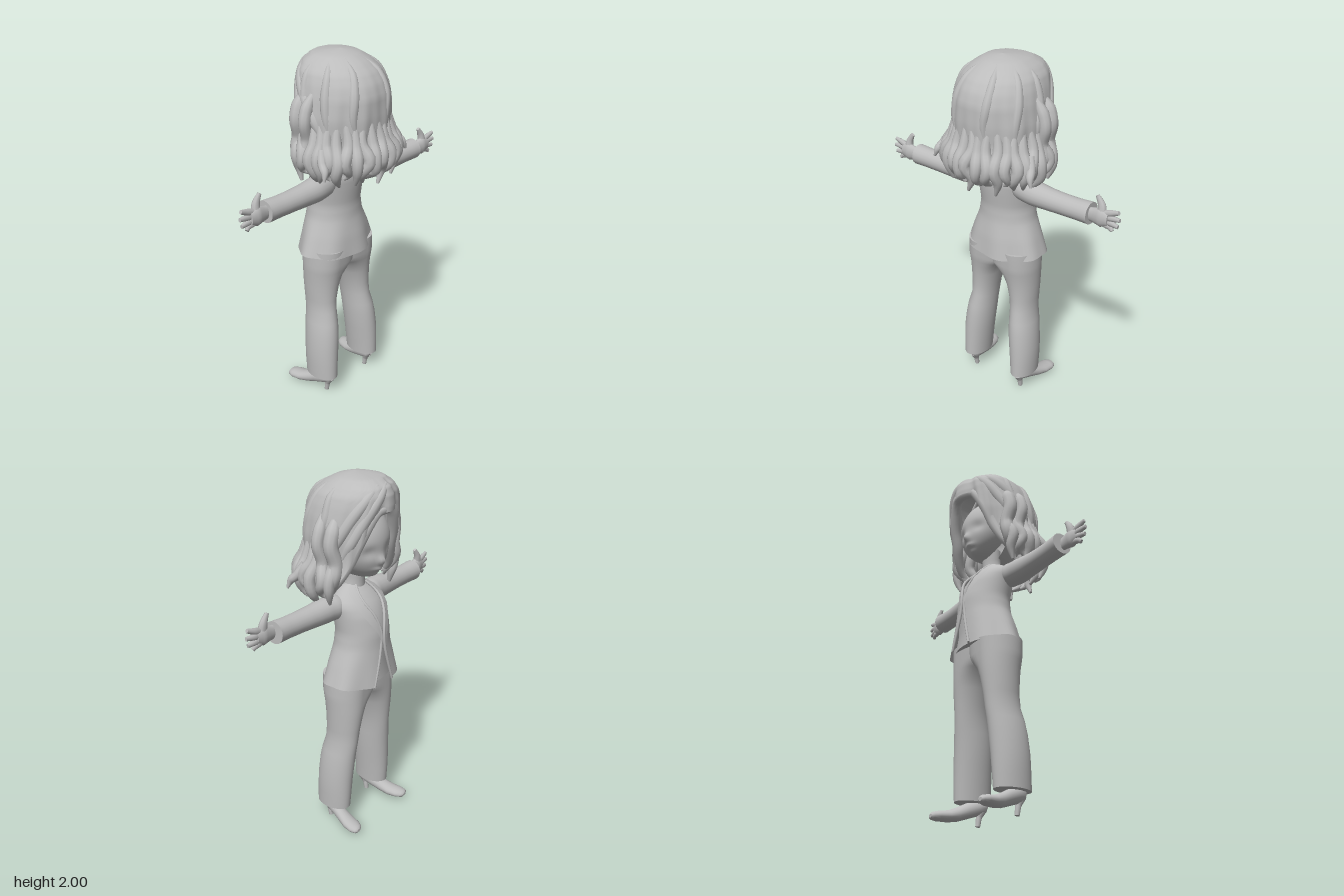
import * as THREE from 'three';

const grey = new THREE.MeshStandardMaterial({ color: 0xbcbcbc, side: THREE.DoubleSide });
grey.name = 'clay grey';
const V = (x, y, z) => new THREE.Vector3(x, y, z);
const TAU = Math.PI * 2;

function add(parent, name, geometry) {
  const mesh = new THREE.Mesh(geometry, grey);
  mesh.name = name;
  parent.add(mesh);
}

// Skin a grid of points; closed joins the last column to the first, caps fill both ends
function loft(rows, closed = true, caps = false) {
  const list = rows.slice();
  const n = rows[0].length;
  if (caps) {
    const fan = (row) => {
      const c = row.reduce((s, p) => s.add(p), V(0, 0, 0)).divideScalar(n);
      return row.map(() => c);
    };
    list.unshift(fan(rows[0]), rows[0]);
    list.push(rows[rows.length - 1], fan(rows[rows.length - 1]));
  }
  const index = [];
  for (let j = 0; j < list.length - 1; j++) {
    for (let i = 0; i < (closed ? n : n - 1); i++) {
      const k = (i + 1) % n;
      const a = j * n + i, b = j * n + k, c = a + n, d = b + n;
      index.push(a, c, b, b, c, d);
    }
  }
  const g = new THREE.BufferGeometry().setFromPoints(list.flat());
  g.setIndex(index);
  g.computeVertexNormals();
  return g;
}

// Smooth tapered tube through points, with one radius per evenly spaced step
function strand(pts, radii, scale = V(1, 1, 1), segs = 20, sides = 10) {
  const curve = new THREE.CatmullRomCurve3(pts.map((p) => V(...p)));
  const f = curve.computeFrenetFrames(segs);
  const rows = [];
  for (let j = 0; j <= segs; j++) {
    const u = (j / segs) * (radii.length - 1);
    const k = Math.min(Math.floor(u), radii.length - 2);
    const r = THREE.MathUtils.lerp(radii[k], radii[k + 1], u - k);
    const c = curve.getPointAt(j / segs);
    rows.push(ring(sides, (a) => V(0, 0, 0).addScaledVector(f.normals[j], Math.cos(a) * r)
      .addScaledVector(f.binormals[j], -Math.sin(a) * r).multiply(scale).add(c)));
  }
  return loft(rows, true, true);
}

// Linear lookup in a table sorted by its first column
function look(table, y) {
  let i = 0;
  while (i < table.length - 2 && y > table[i + 1][0]) i++;
  const t = THREE.MathUtils.clamp((y - table[i][0]) / (table[i + 1][0] - table[i][0]), 0, 1);
  return table[i].map((v, k) => THREE.MathUtils.lerp(v, table[i + 1][k], t));
}

// Point on a section [y, halfWidth, zBack, zFront]; angle 0 is the face side (-z), square < 1 fills the front corners
function onBody(table, y, a, out = 0, square = 1) {
  const [, w, zb, zf] = look(table, y);
  const p = Math.cos(a) > 0 ? square : 1;
  const bend = (v) => Math.sign(v) * Math.abs(v) ** p;
  return V(bend(Math.sin(a)) * (w + out), y, (zb + zf) / 2 - bend(Math.cos(a)) * ((zb - zf) / 2 + out));
}
const ring = (n, fn) => Array.from({ length: n }, (_, i) => fn((i / n) * TAU));

const JACKET = [[0.885, 0.243, 0.07, -0.262, 0.32], [1.0, 0.205, 0.055, -0.252, 0.2], [1.1, 0.167, 0.035, -0.245, 0.1],
  [1.18, 0.155, 0.03, -0.243, 0.08], [1.28, 0.163, 0.042, -0.222, 0.25], [1.34, 0.168, 0.045, -0.185, 0.4],
  [1.385, 0.13, 0.03, -0.14, 0.5], [1.42, 0.07, 0.0, -0.1, 0.6]];
const HAIR = [[1.38, 0.25, 0.2, -0.22], [1.5, 0.27, 0.23, -0.25], [1.6, 0.25, 0.205, -0.255], [1.7, 0.252, 0.21, -0.27],
  [1.8, 0.237, 0.205, -0.28], [1.86, 0.222, 0.185, -0.285], [1.91, 0.202, 0.15, -0.282], [1.95, 0.165, 0.1, -0.265],
  [1.98, 0.115, 0.04, -0.205], [1.993, 0.06, -0.01, -0.12], [2.0, 0, -0.05, -0.05]];

function buildTorso(g) {
  // Open jacket shell
  const rows = [];
  for (let j = 0; j <= 24; j++) {
    const y = 0.885 + (j / 24) * 0.535;
    const gap = look(JACKET, y)[4];
    rows.push(Array.from({ length: 49 }, (_, i) => {
      const a = gap + (i / 48) * (TAU - 2 * gap);
      const hem = Math.max(0, 1 - j / 10);
      const p = onBody(JACKET, y, a, 0.006 * hem * Math.sin(a * 7));
      p.y += 0.018 * hem * Math.sin(a) ** 2;
      return p;
    }));
  }
  add(g, 'jacket', loft(rows, false));
  // Blouse filling the opening
  add(g, 'blouse', loft([0.9, 1.0, 1.1, 1.18, 1.28, 1.34, 1.385, 1.42].map((y) =>
    ring(32, (a) => onBody(JACKET, y, a, y < 1.05 ? -0.03 : -0.012))), true, true));
  // Lapels and rolled front edges
  const spread = [0.02, 0.18, 0.32, 0.42, 0.4, 0.5, 0.6];
  for (const s of [1, -1]) {
    const across = s > 0 ? [0, 0.5, 1] : [1, 0.5, 0];
    add(g, 'lapel', loft([1.12, 1.18, 1.24, 1.3, 1.35, 1.39, 1.42].map((y, j) => across.map((t) =>
      onBody(JACKET, y, s * (look(JACKET, y)[4] - 0.03 + t * spread[j]), 0.006))), false));
    const edge = JACKET.map(([y, , , , gap]) => onBody(JACKET, y, s * gap).toArray());
    add(g, 'jacketEdge', strand(edge, [0.007, 0.008, 0.008, 0.007]));
  }
}

function buildTrousers(g) {
  // [y, centre x, radius x, centre z, radius z]
  const LEG = [[0.115, 0.174, 0.069, -0.048, 0.105], [0.2, 0.172, 0.074, -0.051, 0.107], [0.3, 0.167, 0.08, -0.054, 0.108],
    [0.4, 0.157, 0.08, -0.06, 0.108], [0.47, 0.15, 0.076, -0.068, 0.106], [0.54, 0.14, 0.07, -0.08, 0.101],
    [0.61, 0.136, 0.076, -0.086, 0.101], [0.7, 0.127, 0.089, -0.088, 0.109], [0.76, 0.12, 0.098, -0.086, 0.116],
    [0.8, 0.116, 0.105, -0.083, 0.121], [0.84, 0.113, 0.109, -0.08, 0.126], [0.93, 0.108, 0.11, -0.08, 0.13]];
  for (const s of [1, -1]) {
    // The inner half squares off towards the crotch so both legs merge into the seat
    add(g, 'trouserLeg', loft(LEG.map(([y, cx, rx, cz, rz]) => {
      const k = THREE.MathUtils.smoothstep(y, 0.72, 0.85);
      return ring(40, (a) => {
        const sx = Math.sin(a), c = Math.cos(a);
        const inner = sx * s < 0;
        const x = inner ? Math.sign(sx) * Math.abs(sx) ** (1 - 0.3 * k) * (rx + 0.03 * k) : sx * rx;
        const z = inner ? Math.sign(c) * Math.abs(c) ** (1 - 0.75 * k) * rz : c * rz;
        return V(s * cx + x, y, cz - z);
      });
    }), true, true));
    // High heeled shoe
    const SHOE = [[0.035, 0.162, 0.112, 0.012, 0.015], [0.02, 0.165, 0.105, 0.03, 0.035], [-0.02, 0.172, 0.097, 0.038, 0.044],
      [-0.08, 0.182, 0.075, 0.038, 0.042], [-0.13, 0.193, 0.054, 0.04, 0.037], [-0.18, 0.204, 0.041, 0.046, 0.03],
      [-0.23, 0.214, 0.038, 0.044, 0.026], [-0.258, 0.219, 0.037, 0.032, 0.02], [-0.268, 0.221, 0.036, 0.014, 0.009]];
    add(g, 'shoe', loft(SHOE.map(([z, cx, cy, rx, ry]) =>
      ring(18, (a) => V(s * cx + Math.cos(a) * rx, cy + Math.sin(a) * ry, z))), true, true));
    add(g, 'shoeHeel', strand([[s * 0.166, 0.095, 0.005], [s * 0.168, 0.05, -0.01], [s * 0.168, 0, -0.018]], [0.03, 0.016, 0.013]));
  }
}

function buildArm(g, s) {
  add(g, 'sleeve', strand([[s * 0.06, 1.32, -0.06], [s * 0.12, 1.318, -0.045], [s * 0.2, 1.316, -0.028], [s * 0.3, 1.312, -0.023],
    [s * 0.45, 1.312, -0.02], [s * 0.575, 1.315, -0.02]], [0.035, 0.066, 0.067, 0.06, 0.056, 0.055, 0.058], V(1, 1, 1), 28, 20));
  const flat = V(1, 1, 0.55);
  add(g, 'palm', strand([[s * 0.55, 1.315, -0.01], [s * 0.6, 1.318, -0.008], [s * 0.645, 1.32, -0.006], [s * 0.68, 1.32, -0.005]],
    [0.034, 0.04, 0.052, 0.036], flat, 12, 14));
  // Four spread fingers and a raised thumb
  [[0.735, 1.375], [0.743, 1.336], [0.735, 1.298], [0.705, 1.266]].forEach(([x, y], i) => {
    const base = 1.342 - i * 0.016;
    add(g, 'finger', strand([[s * 0.64, base, -0.006], [s * 0.69, (base + y) / 2, -0.008], [s * x, y, -0.004]],
      [0.018, 0.018, 0.011], V(1, 1, 0.8), 10, 8));
  });
  add(g, 'thumb', strand([[s * 0.64, 1.33, -0.006], [s * 0.635, 1.38, -0.012], [s * 0.608, 1.427, -0.012]],
    [0.028, 0.022, 0.011], V(1, 1, 0.8), 10, 8));
}

function buildHead(g) {
  add(g, 'neck', strand([[0, 1.36, -0.04], [0, 1.45, -0.055], [0, 1.53, -0.06]], [0.065, 0.052, 0.055], V(1, 1, 1), 10, 18));
  // Head with nose, lips, chin and eye sockets pushed out of a sphere
  const head = new THREE.SphereGeometry(1, 64, 56);
  const pos = head.attributes.position;
  const bump = (x, y, cx, cy, sx, sy) => Math.exp(-(((x - cx) / sx) ** 2) - ((y - cy) / sy) ** 2);
  for (let i = 0; i < pos.count; i++) {
    let x = pos.getX(i), y = pos.getY(i), z = pos.getZ(i);
    const low = Math.max(0, -y);
    x *= 0.19 * (1 - 0.25 * low * low);
    const front = z < 0 ? 1 : 0;
    z = z * 0.185 - 0.045 - front * 0.06 * low * low;
    y = 1.655 + y * 0.19;
    const face = Math.min(1, front * Math.max(0, -z - 0.08) * 12);
    z -= face * (0.026 * bump(x, y, 0, 1.568, 0.022, 0.026) + 0.014 * bump(x, y, 0, 1.523, 0.035, 0.012)
      + 0.012 * bump(x, y, 0, 1.483, 0.04, 0.02) - 0.014 * bump(Math.abs(x), y, 0.075, 1.62, 0.04, 0.03));
    pos.setXYZ(i, x, y, z);
  }
  head.computeVertexNormals();
  add(g, 'head', head);
}

// Hair surface: squarer in front, a parting groove, and a lower lobe on the right side
function onHair(y, a, out = 0) {
  const side = Math.atan2(Math.sin(a), Math.cos(a));
  const groove = 0.022 * Math.exp(-(((side + 0.2) / 0.13) ** 2));
  const lobe = 0.022 * THREE.MathUtils.smoothstep(-side, 0.1, 0.4) * (1 - THREE.MathUtils.smoothstep(-side, 0.8, 1.4));
  const fade = THREE.MathUtils.smoothstep(2 - y, 0.005, 0.05);
  return onBody(HAIR, y, a, out - fade * (groove + lobe), 0.8);
}
const hairHem = (a) => 1.835 - 0.405 * THREE.MathUtils.smoothstep(Math.min(a, TAU - a), 0.2, 1.35);

function buildHair(g) {
  // Cap that falls to the shoulders and lifts into an arch over the face
  const rows = [];
  for (let j = 0; j <= 36; j++) {
    const v = 1 - j / 36;
    rows.push(ring(120, (a) => {
      const hem = hairHem(a);
      const y = hem + (2 - hem) * Math.cos(v * Math.PI / 2);
      return onHair(y, a, v * v * (0.007 * Math.sin(9 * a + 8 * y) + 0.004 * Math.sin(22 * a)));
    }));
  }
  add(g, 'hairCap', loft(rows));
  // Thick rolled edge of the fringe
  const edge = Array.from({ length: 19 }, (_, i) => {
    const a = (i / 18) * 2.5 - 1.25;
    return onHair(hairHem(Math.abs(a)) + 0.01, a, -0.026).toArray();
  });
  add(g, 'fringeEdge', strand(edge, [0.02, 0.03, 0.03, 0.026, 0.03, 0.03, 0.02], V(1, 1, 1), 48, 12));
  // Waves sweeping from the parting to the sides
  for (const [s, start] of [[1, -0.05], [-1, 0.35]]) {
    [0, 0.35].forEach((d) => add(g, 'fringeWave', strand([1.955, 1.93, 1.88, 1.8, 1.7, 1.6].map((y, k) =>
      onHair(y, s * (start + d + k * 0.23), -0.02).toArray()), [0.012, 0.028, 0.032, 0.032, 0.03, 0.015], V(1, 1, 1), 24, 12)));
  }
  // Curled locks around the hem
  for (let i = 0; i < 21; i++) {
    const a = 1.25 + (i / 20) * (TAU - 2.5);
    const end = 1.38 + 0.03 * Math.sin(i * 2.4);
    const path = [[1.68, -0.022, 0], [1.58, -0.004, 0.05], [1.5, 0.014, -0.05], [1.43, 0.012 + 0.01 * Math.cos(i * 2.9), 0.05],
      [end, -0.01 + 0.025 * Math.cos(i * 1.9), -0.05]];
    add(g, 'hairLock', strand(path.map(([y, out, da]) => onHair(y, a + da * Math.sin(i * 1.7), out).toArray()),
      [0.018, 0.029, 0.034, 0.027, 0.008], V(1, 1, 1), 16, 10));
  }
  // Low ridges running down from the crown
  for (const a of [1.6, 2.15, 2.8, 3.7, 4.3, 4.8]) {
    add(g, 'hairRidge', strand([1.97, 1.9, 1.8, 1.7, 1.6].map((y, k) =>
      onHair(y, a + 0.06 * Math.sin(k * 1.6 + a), -0.016).toArray()), [0.008, 0.022, 0.028, 0.024, 0.014]));
  }
  for (const s of [1, -1]) {
    // Long wavy locks framing the face
    [[0, 0, 0.038], [-0.045, 0.05, 0.03], [0.015, 0.07, 0.032]].forEach(([dx, dz, r]) =>
      add(g, 'sideLock', strand([[0.2, 1.82, -0.1], [0.24, 1.75, -0.11], [0.258, 1.68, -0.11], [0.235, 1.59, -0.12],
        [0.25, 1.51, -0.12], [0.225, 1.44, -0.09], [0.23, 1.4, -0.07]]
        .map(([x, y, z]) => [s * (x + dx), y, z + dz]), [0.015, r, r, r, r, 0.026, 0.007], V(1, 1, 1), 28, 10)));
    // Loose tip flicking outward
    add(g, 'hairFlick', strand([[s * 0.26, 1.56, 0.06], [s * 0.285, 1.5, 0.09], [s * 0.3, 1.47, 0.12], [s * 0.315, 1.43, 0.13]],
      [0.02, 0.024, 0.022, 0.006]));
  }
}

export function createModel() {
  const model = new THREE.Group();
  model.name = 'figure';
  const part = (name, build, ...args) => {
    const g = new THREE.Group();
    g.name = name;
    build(g, ...args);
    model.add(g);
  };
  part('torso', buildTorso);
  part('trousers', buildTrousers);
  part('leftArm', buildArm, 1);
  part('rightArm', buildArm, -1);
  part('headGroup', buildHead);
  part('hair', buildHair);
  return model;
}
